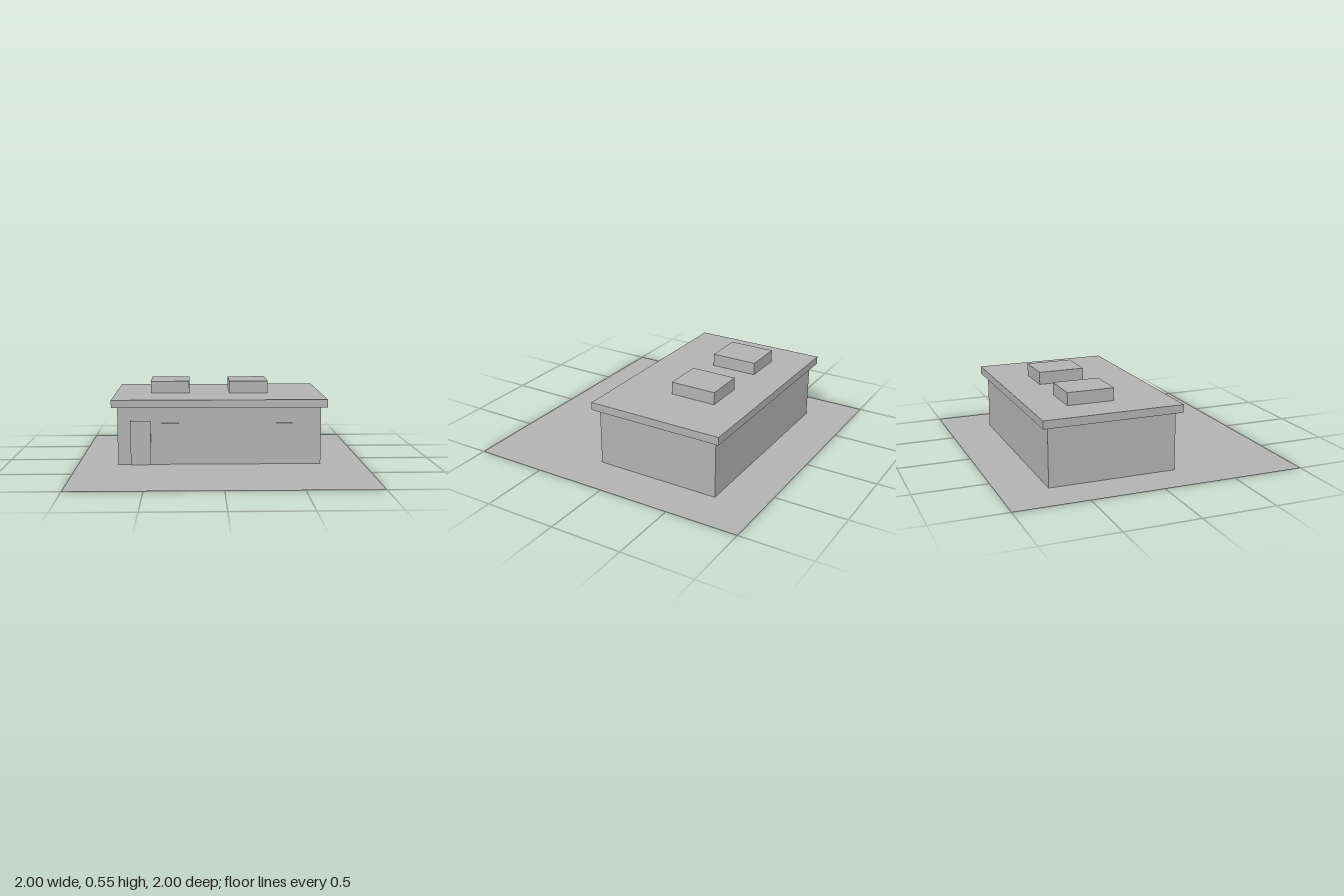
import * as THREE from 'three';

export function createModel() {
  const model = new THREE.Group();
  model.name = 'building';

  const grey = new THREE.MeshStandardMaterial({ color: 0xb2b2b2 });
  grey.name = 'grey';
  const groundGrey = grey.clone();
  groundGrey.side = THREE.DoubleSide;
  groundGrey.name = 'ground grey';

  // Box given by its extents on each axis
  function block(name, [x0, x1], [y0, y1], [z0, z1]) {
    const mesh = new THREE.Mesh(new THREE.BoxGeometry(x1 - x0, y1 - y0, z1 - z0), grey);
    mesh.position.set((x0 + x1) / 2, (y0 + y1) / 2, (z0 + z1) / 2);
    mesh.name = name;
    model.add(mesh);
  }

  // Flat square plot
  const ground = new THREE.Mesh(new THREE.PlaneGeometry(2, 2).rotateX(-Math.PI / 2), groundGrey);
  ground.name = 'ground';
  model.add(ground);

  // Main volume and overhanging flat roof
  block('walls', [-0.72, 0.697], [0.002, 0.405], [-0.677, 0.203]);
  block('roof', [-0.76, 0.738], [0.405, 0.46], [-0.718, 0.24]);

  // Two rooftop units
  for (const x of [-0.503, 0.069]) {
    block('roofUnit', [x, x + 0.28], [0.46, 0.547], [-0.468, -0.143]);
  }

  // Door and row of windows on the front wall
  block('door', [-0.63, -0.49], [0.002, 0.31], [0.203, 0.216]);
  for (const x of [-0.457, -0.187, 0.083, 0.335]) {
    block('window', [x, x + 0.163], [0.127, 0.293], [0.203, 0.208]);
  }

  return model;
}
